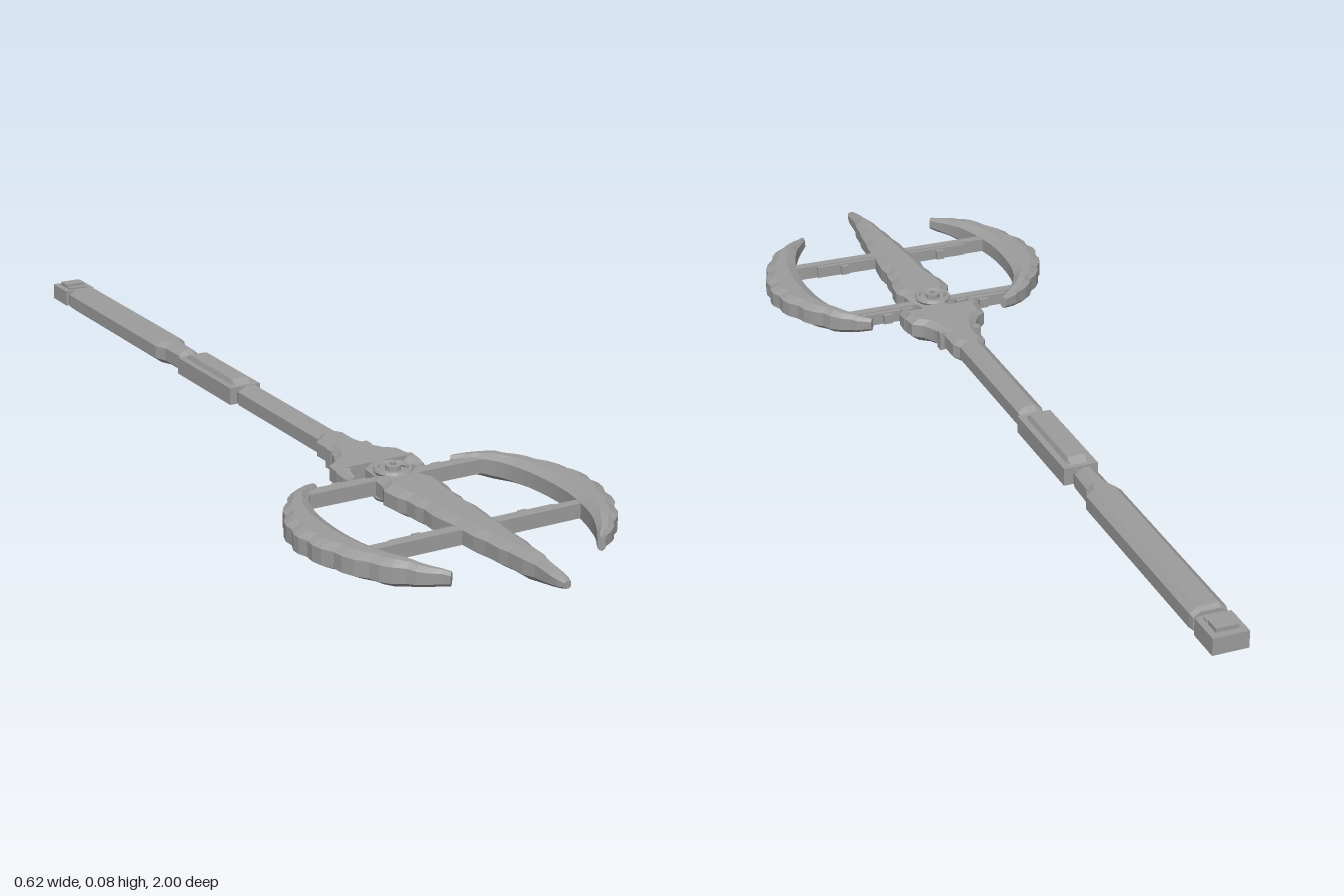
import * as THREE from 'three';

const MID = 0.04; // height of the flat weapon's middle plane

// Bevelled octagonal loft. Station: left edge [x,z], right edge [x,z], half height, half height of the edge.
function loft(stations, bevel = 0.02) {
  const rings = stations.map(([lx, lz, rx, rz, h, e]) => {
    const w = Math.hypot(rx - lx, rz - lz);
    const t = Math.min(bevel, w * 0.32) / w;
    const at = (s, y) => [lx + (rx - lx) * s, MID + y, lz + (rz - lz) * s];
    return [at(0, -e), at(0, e), at(t, h), at(1 - t, h), at(1, e), at(1, -e), at(1 - t, -h), at(t, -h)];
  });
  const pos = [];
  const tri = (a, b, c) => pos.push(...a, ...b, ...c);
  for (let i = 0; i < rings.length - 1; i++) {
    for (let j = 0; j < 8; j++) {
      const k = (j + 1) % 8;
      const a = rings[i][j], b = rings[i][k], c = rings[i + 1][k], d = rings[i + 1][j];
      tri(a, d, c);
      tri(a, c, b);
    }
  }
  const first = rings[0], last = rings[rings.length - 1];
  for (let j = 1; j < 7; j++) {
    tri(first[0], first[j], first[j + 1]);
    tri(last[0], last[j + 1], last[j]);
  }
  const g = new THREE.BufferGeometry();
  g.setAttribute('position', new THREE.Float32BufferAttribute(pos, 3));
  g.computeVertexNormals();
  return g;
}

// Symmetric loft along z from [z, half width, half height] rows
const spine = (rows, bevel) =>
  loft(rows.map(([z, w, h = 0.025]) => [-w, z, w, z, h, h * 0.55]), bevel);

export function createModel() {
  const model = new THREE.Group();
  const metal = new THREE.MeshStandardMaterial({ color: 0x9c9c9c, flatShading: true });
  metal.name = 'grey metal';

  const add = (name, geometry, parent = model) => {
    const mesh = new THREE.Mesh(geometry, metal);
    mesh.name = name;
    parent.add(mesh);
    return mesh;
  };
  const box = (name, x0, x1, z0, z1, h, parent) => {
    const mesh = add(name, new THREE.BoxGeometry(Math.abs(x1 - x0), 2 * h, z1 - z0), parent);
    mesh.position.set((x0 + x1) / 2, MID, (z0 + z1) / 2);
    return mesh;
  };

  // Pommel with raised bands
  box('pommel', -0.035, 0.035, -1, -0.93, 0.017);
  box('pommelBand', -0.022, 0.022, -0.985, -0.955, 0.025);
  box('pommelStep', -0.022, 0.022, -0.95, -0.938, 0.021);
  box('pommelNeck', -0.026, 0.026, -0.935, -0.91, 0.012);

  // Rear grip, narrowing towards the collar
  add('rearGrip', spine([
    [-0.92, 0.033, 0.02], [-0.91, 0.035], [-0.47, 0.035], [-0.445, 0.024],
    [-0.385, 0.022], [-0.37, 0.018, 0.016],
  ], 0.014));
  box('rearNeck', -0.014, 0.014, -0.39, -0.34, 0.012);

  // Collar with raised panels above and below
  box('collar', -0.035, 0.035, -0.365, -0.13, 0.018);
  add('collarPanel', spine([
    [-0.355, 0.023, 0.018], [-0.34, 0.023, 0.028], [-0.155, 0.023, 0.028], [-0.14, 0.023, 0.018],
  ], 0.005));
  box('frontNeck', -0.018, 0.018, -0.14, -0.1, 0.012);

  // Shaft flaring into the guard
  add('shaft', spine([
    [-0.125, 0.022, 0.016], [-0.11, 0.026], [0.21, 0.026], [0.225, 0.036], [0.27, 0.036],
    [0.31, 0.048], [0.335, 0.062], [0.35, 0.082], [0.37, 0.084], [0.395, 0.088],
  ], 0.016));

  // Long central blade with a scalloped edge
  add('centralBlade', spine([
    [0.39, 0.03], [0.43, 0.034], [0.455, 0.046], [0.49, 0.05], [0.51, 0.06], [0.55, 0.056],
    [0.57, 0.049], [0.60, 0.049], [0.62, 0.044], [0.65, 0.047], [0.68, 0.044], [0.71, 0.04],
    [0.77, 0.038], [0.80, 0.032], [0.84, 0.03], [0.86, 0.025], [0.90, 0.022], [0.925, 0.015, 0.022],
    [0.965, 0.014, 0.015], [0.985, 0.012, 0.011], [1, 0.007, 0.007],
  ], 0.018));

  // Round boss and pin at the blade root, on both faces
  for (const s of [1, -1]) {
    const ring = add('bossRing', new THREE.TorusGeometry(0.033, 0.006, 6, 20));
    ring.rotation.x = Math.PI / 2;
    ring.position.set(0, MID + s * 0.025, 0.445);
    const disc = add('bossDisc', new THREE.CylinderGeometry(0.015, 0.015, 0.01, 12));
    disc.position.set(0, MID + s * 0.029, 0.445);
    const pin = add('bossPin', new THREE.CylinderGeometry(0.005, 0.005, 0.02, 8));
    pin.position.set(0, MID + s * 0.03, 0.445);
  }

  // Edge curves of a crescent blade, [x, z]
  const curve = (pts) => new THREE.CatmullRomCurve3(pts.map(([x, z]) => new THREE.Vector3(x, 0, z)));
  const outer = curve([
    [0.155, 0.405], [0.20, 0.425], [0.25, 0.475], [0.288, 0.535], [0.309, 0.60],
    [0.308, 0.66], [0.29, 0.73], [0.255, 0.80], [0.21, 0.85], [0.162, 0.888],
  ]);
  const inner = curve([
    [0.147, 0.415], [0.178, 0.445], [0.208, 0.49], [0.223, 0.54], [0.23, 0.60],
    [0.23, 0.66], [0.222, 0.72], [0.205, 0.78], [0.183, 0.83], [0.152, 0.878],
  ]);

  for (const s of [1, -1]) {
    const side = new THREE.Group();
    side.name = s > 0 ? 'leftSide' : 'rightSide';
    model.add(side);

    // Crescent blade with shallow notches on the outer edge
    const N = 28;
    const stations = [];
    for (let i = 0; i <= N; i++) {
      const o = outer.getPoint(i / N), n = inner.getPoint(i / N);
      const notch = i > 2 && i < N && i % 3 === 0 ? 0.006 : 0;
      const end = Math.min(1, Math.min(i, N - i) / 5);
      const h = 0.013 + 0.0125 * end;
      const a = [n.x * s, n.z], b = [(o.x - notch) * s, o.z];
      stations.push(s > 0 ? [...a, ...b, h, h * 0.6] : [...b, ...a, h, h * 0.6]);
    }
    add('crescentBlade', loft(stations), side);

    // Stepped crossbars joining the crescent to the central blade
    box('rearCrossbar', s * 0.03, s * 0.2, 0.44, 0.46, 0.0145, side);
    box('rearCrossbarStep', s * 0.05, s * 0.165, 0.43, 0.442, 0.0125, side);
    box('rearCrossbarStud', s * 0.1, s * 0.12, 0.42, 0.432, 0.01, side);
    box('frontCrossbar', s * 0.03, s * 0.225, 0.718, 0.738, 0.0145, side);
    box('frontCrossbarStep', s * 0.035, s * 0.175, 0.71, 0.72, 0.0125, side);
    box('frontCrossbarStud', s * 0.105, s * 0.122, 0.7, 0.712, 0.01, side);

    // Guard prong and small lug
    const rows = [[0.385, 0.05, 0.088], [0.41, 0.062, 0.088], [0.43, 0.07, 0.082]];
    add('guardProng', loft(rows.map(([z, p, q], i) => {
      const h = 0.025 - i * 0.004;
      return s > 0 ? [p, z, q, z, h, h * 0.55] : [-q, z, -p, z, h, h * 0.55];
    }), 0.01), side);
    box('guardLug', s * 0.03, s * 0.046, 0.275, 0.293, 0.019, side);
  }

  // Rest the lowest pins on the ground
  model.updateMatrixWorld(true);
  model.position.y = -new THREE.Box3().setFromObject(model).min.y;
  return model;
}
